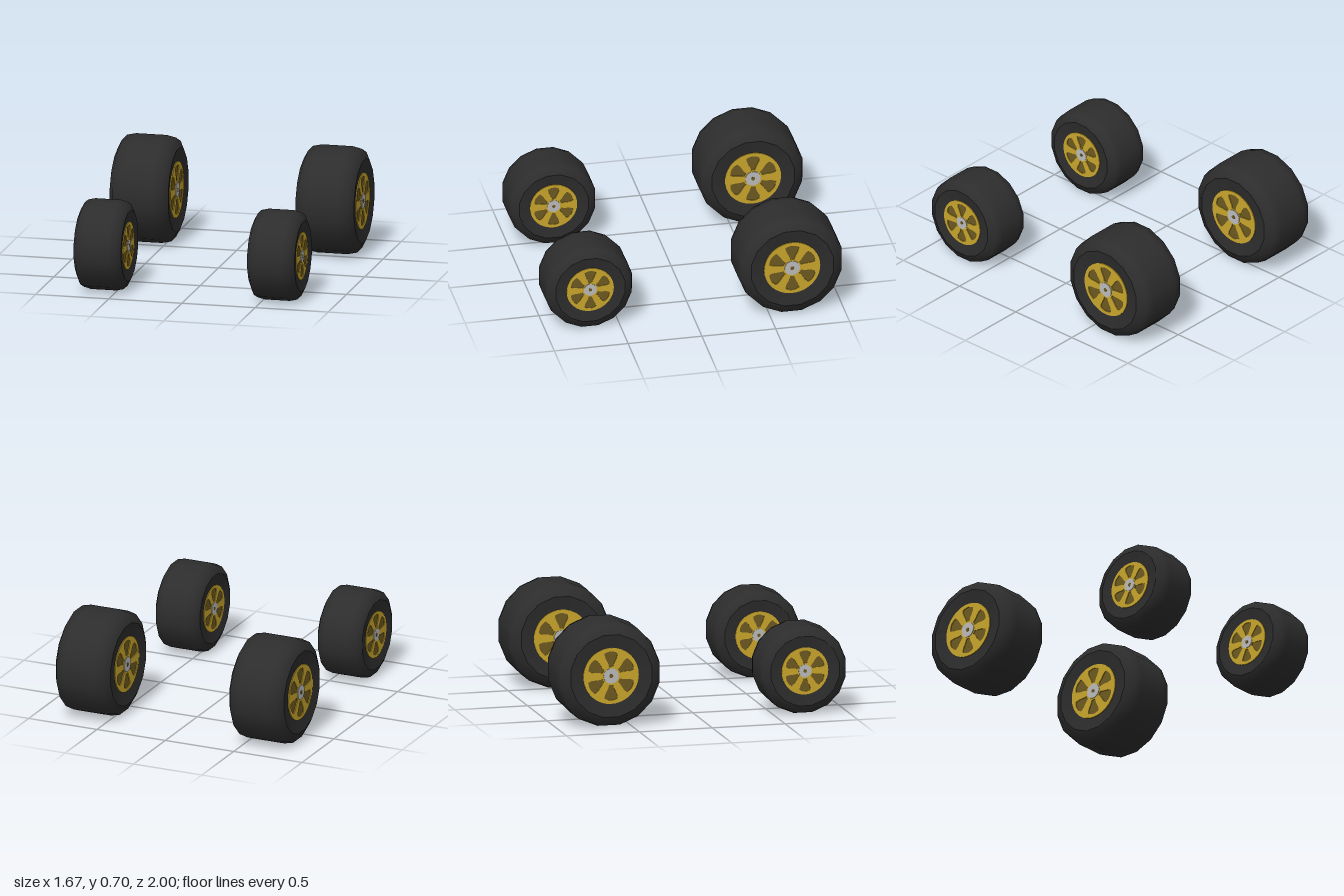
import * as THREE from 'three';

const SIDES = 16;
const rubber = new THREE.MeshStandardMaterial({ color: 0x2d2d2d, name: 'rubber' });
const gold = new THREE.MeshStandardMaterial({ color: 0xcaa72b, name: 'gold' });
const darkGold = new THREE.MeshStandardMaterial({ color: 0x6e5a20, name: 'darkGold' });
const silver = new THREE.MeshStandardMaterial({ color: 0xbcbcbc, name: 'silver' });

function part(parent, name, geometry, material, y = 0) {
  const mesh = new THREE.Mesh(geometry, material);
  mesh.name = name;
  mesh.position.y = y;
  parent.add(mesh);
  return mesh;
}

// Tyre surfaces turned about y, with a flat facet towards the ground
function turned(points) {
  const corner = 1 / Math.cos(Math.PI / SIDES);
  const profile = points.map(([r, y]) => new THREE.Vector2(r * corner, y));
  return new THREE.LatheGeometry(profile, SIDES, Math.PI / SIDES);
}

// Round rim plate with six petal-shaped openings
function rimPlate() {
  const shape = new THREE.Shape().absarc(0, 0, 0.19, 0, Math.PI * 2);
  for (let i = 0; i < 6; i++) {
    const a = (i * Math.PI) / 3, c = Math.cos(a), s = Math.sin(a);
    const p = (r, t) => [r * c - t * s, r * s + t * c];
    const hole = new THREE.Path();
    hole.moveTo(...p(0.062, -0.014));
    hole.bezierCurveTo(...p(0.1, -0.02), ...p(0.115, -0.045), ...p(0.152, -0.045));
    hole.quadraticCurveTo(...p(0.18, 0), ...p(0.152, 0.045));
    hole.bezierCurveTo(...p(0.115, 0.045), ...p(0.1, 0.02), ...p(0.062, 0.014));
    hole.closePath();
    shape.holes.push(hole);
  }
  const plate = new THREE.ExtrudeGeometry(shape, { depth: 0.008, bevelEnabled: false, curveSegments: 20 });
  return plate.rotateX(-Math.PI / 2);
}

// Wheel of radius 0.352 and width 0.4, lying with its axle along y
const geometries = {
  tread: turned([[0.278, -0.2], [0.338, -0.168], [0.352, -0.105],
    [0.352, 0.105], [0.338, 0.168], [0.278, 0.2]]),
  sidewall: turned([[0.278, 0.2], [0.17, 0.183]]),
  rim: rimPlate(),
  backing: new THREE.CylinderGeometry(0.186, 0.186, 0.006, 32),
  hub: new THREE.CylinderGeometry(0.052, 0.052, 0.016, 20),
  bolt: new THREE.CylinderGeometry(0.014, 0.014, 0.004, 8),
};

function makeWheel(name, x, z, radius, width) {
  const wheel = new THREE.Group();
  wheel.name = name;
  part(wheel, 'tread', geometries.tread, rubber);
  // Both faces carry the same rim
  for (const side of [0, 1]) {
    const face = new THREE.Group();
    face.name = side ? 'rightFace' : 'leftFace';
    face.rotation.x = side * Math.PI;
    part(face, 'sidewall', geometries.sidewall, rubber);
    part(face, 'rimBacking', geometries.backing, darkGold, 0.184);
    part(face, 'spokedRim', geometries.rim, gold, 0.184);
    part(face, 'hub', geometries.hub, silver, 0.188);
    part(face, 'axleBolt', geometries.bolt, darkGold, 0.196);
    wheel.add(face);
  }
  const s = radius / 0.352;
  wheel.scale.set(s, width / 0.4, s);
  wheel.rotation.z = -Math.PI / 2;
  wheel.position.set(x, radius, z);
  return wheel;
}

export function createModel() {
  const model = new THREE.Group();
  model.name = 'wheelSet';
  for (const [side, sign] of [['Left', 1], ['Right', -1]]) {
    model.add(makeWheel('front' + side + 'Wheel', sign * 0.593, 0.704, 0.296, 0.325));
    model.add(makeWheel('rear' + side + 'Wheel', sign * 0.635, -0.648, 0.352, 0.4));
  }
  return model;
}
